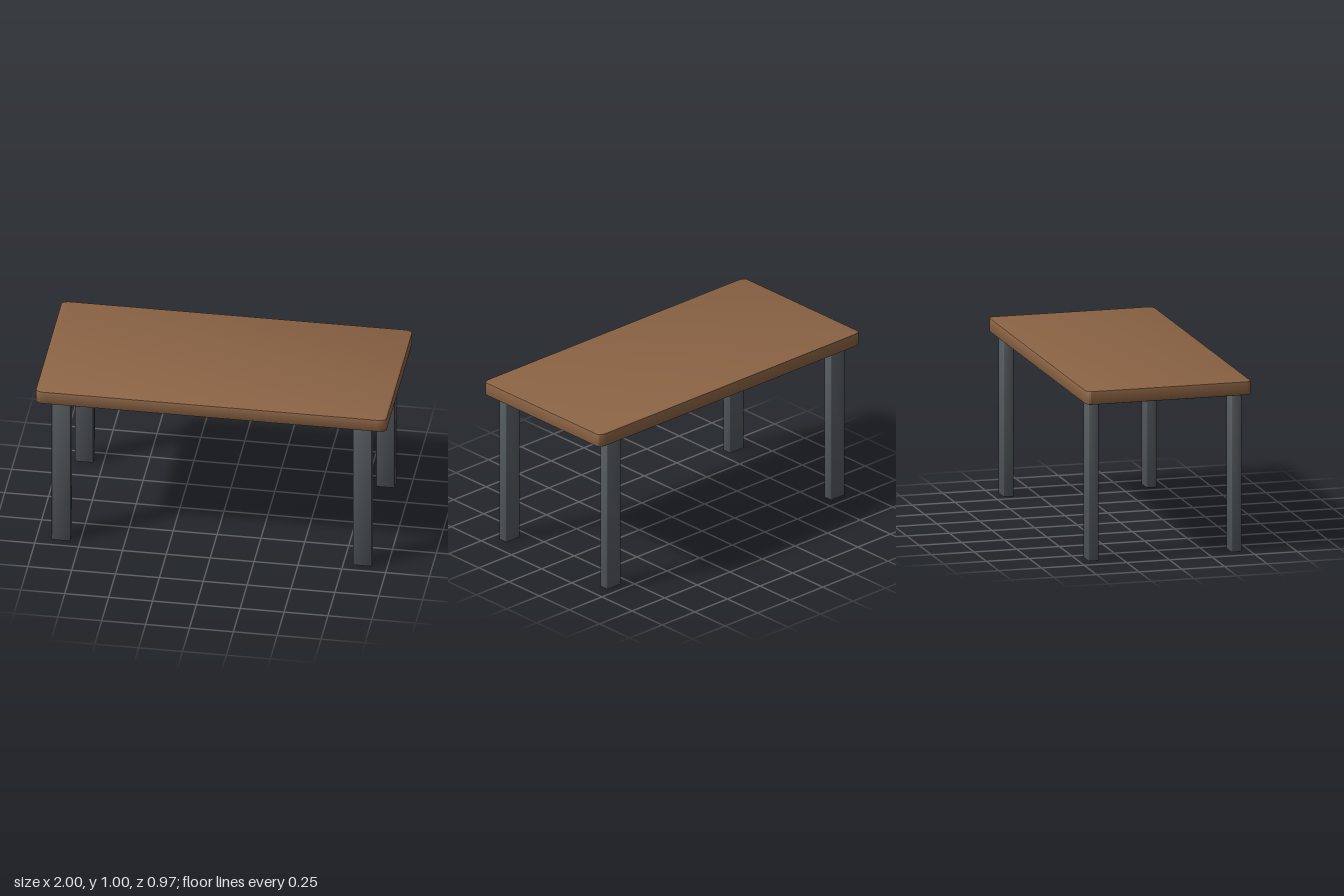
import * as THREE from 'three';
import { toCreasedNormals } from 'three/addons/utils/BufferGeometryUtils.js';

// Upright slab with elliptical corners and softened edges, standing on y = 0
function roundedSlab(width, height, depth, rx, rz, bevel) {
  const x = width / 2, z = depth / 2;
  const shape = new THREE.Shape();
  shape.moveTo(-x + rx, -z);
  shape.lineTo(x - rx, -z);
  shape.absellipse(x - rx, -z + rz, rx, rz, -Math.PI / 2, 0, false, 0);
  shape.lineTo(x, z - rz);
  shape.absellipse(x - rx, z - rz, rx, rz, 0, Math.PI / 2, false, 0);
  shape.lineTo(-x + rx, z);
  shape.absellipse(-x + rx, z - rz, rx, rz, Math.PI / 2, Math.PI, false, 0);
  shape.lineTo(-x, -z + rz);
  shape.absellipse(-x + rx, -z + rz, rx, rz, Math.PI, Math.PI * 1.5, false, 0);
  const geometry = new THREE.ExtrudeGeometry(shape, {
    depth: height - 2 * bevel,
    bevelEnabled: true,
    bevelThickness: bevel,
    bevelSize: bevel,
    bevelOffset: -bevel,
    bevelSegments: 2,
    curveSegments: 8,
  });
  geometry.translate(0, 0, bevel);
  geometry.rotateX(-Math.PI / 2);
  return toCreasedNormals(geometry, 0.6);
}

export function createModel() {
  const table = new THREE.Group();
  table.name = 'table';

  const wood = new THREE.MeshStandardMaterial({ color: 0x8b6344 });
  wood.name = 'brown wood';
  const metal = new THREE.MeshStandardMaterial({ color: 0x555b5f });
  metal.name = 'grey metal';

  // Table top
  const top = new THREE.Mesh(roundedSlab(2, 0.078, 0.97, 0.05, 0.027, 0.005), wood);
  top.name = 'tableTop';
  top.position.y = 0.922;
  table.add(top);

  // Four legs
  const legGeometry = roundedSlab(0.107, 0.922, 0.06, 0.008, 0.005, 0.003);
  for (const sx of [-1, 1]) {
    for (const sz of [-1, 1]) {
      const leg = new THREE.Mesh(legGeometry, metal);
      leg.name = (sz > 0 ? 'front' : 'back') + (sx > 0 ? 'Left' : 'Right') + 'Leg';
      leg.position.set(sx * 0.859, 0, sz * 0.419);
      table.add(leg);
    }
  }
  return table;
}
